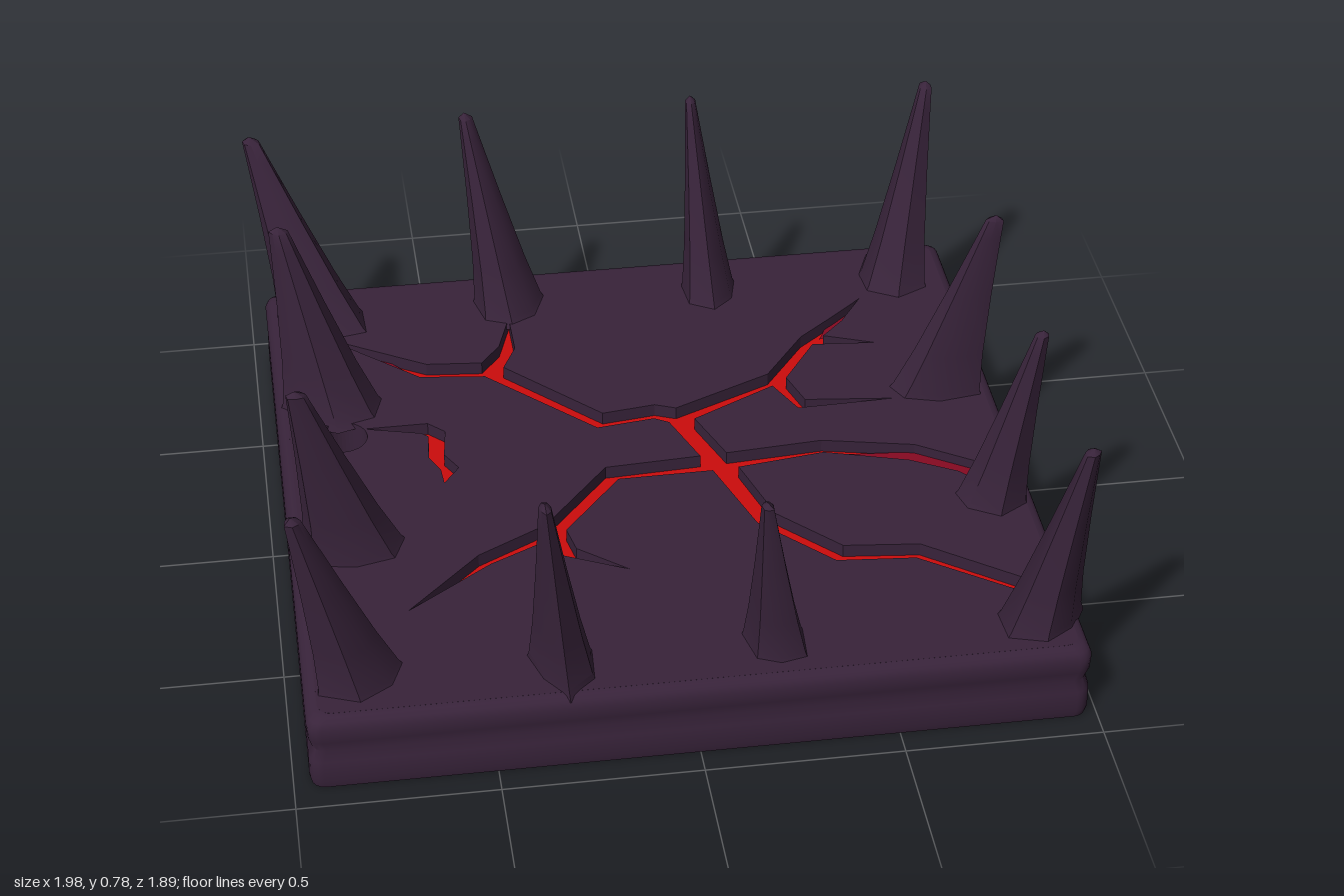
import * as THREE from 'three';
import { toCreasedNormals } from 'three/addons/utils/BufferGeometryUtils.js';

const stone = new THREE.MeshStandardMaterial({ color: 0x38233a });
stone.name = 'dark purple stone';
const lava = new THREE.MeshStandardMaterial({ color: 0xcc0c0c });
lava.name = 'lava red';
const ember = new THREE.MeshStandardMaterial({ color: 0x860a22 });
ember.name = 'dim ember red';

const TOP = 0.21, FLOOR = 0.17;
const CX = 0.01, CZ = -0.01, HX = 0.97, HZ = 0.945;

// Crack networks: each node is [x, z, half width, index of parent node]
const mainCrack = [
  [0.11, -0.19, 0.034, -1], [0.05, -0.22, 0.03, 0], [-0.1, -0.2, 0.03, 1], [-0.37, -0.48, 0.032, 2],
  [-0.55, -0.5, 0.03, 3], [-0.8, -0.69, 0.03, 4], [-0.31, -0.58, 0.022, 3], [-0.29, -0.72, 0.02, 6],
  [0.4, -0.33, 0.026, 0], [0.52, -0.5, 0.022, 8], [0.62, -0.59, 0.016, 9], [0.7, -0.68, 0.012, 10],
  [0.7, -0.46, 0.01, 9], [0.45, -0.2, 0.018, 8], [0.7, -0.19, 0.01, 13],
  [0.19, 0.03, 0.034, 0], [-0.1, 0.04, 0.028, 15], [-0.28, 0.26, 0.028, 16], [-0.47, 0.36, 0.024, 17],
  [-0.68, 0.54, 0.01, 18], [-0.25, 0.36, 0.02, 17], [-0.11, 0.45, 0.01, 20],
  [0.47, 0.0, 0.026, 15], [0.7, 0.06, 0.035, 22], [0.83, 0.14, 0.03, 23], [0.85, 0.21, 0.02, 24],
  [0.27, 0.29, 0.03, 15], [0.43, 0.46, 0.03, 26], [0.63, 0.48, 0.028, 27], [0.86, 0.65, 0.026, 28],
  [0.9, 0.7, 0.02, 29],
];
const sideCrack = [
  [-0.73, -0.25, 0.02, -1], [-0.57, -0.23, 0.022, 0], [-0.54, -0.2, 0.022, 1],
  [-0.55, -0.1, 0.02, 2], [-0.52, -0.04, 0.022, 3], [-0.54, 0.02, 0.02, 4],
];
const emberStrips = [
  [[0.44, 0.0, 0.03, -1], [0.7, 0.06, 0.04, 0], [0.83, 0.14, 0.04, 1], [0.86, 0.22, 0.03, 2]],
  [[-0.82, -0.7, 0.04, -1], [-0.74, -0.645, 0.05, 0], [-0.58, -0.525, 0.04, 1]],
  [[0.56, -0.535, 0.02, -1], [0.62, -0.59, 0.03, 0], [0.72, -0.7, 0.02, 1]],
];

// Walk around a branching line and return its outline, mitred at the bends
function outline(nodes) {
  const P = nodes.map(([x, z]) => new THREE.Vector2(x, -z));
  const links = nodes.map(() => []);
  nodes.forEach(([, , , parent], i) => {
    if (parent >= 0) { links[i].push(parent); links[parent].push(i); }
  });
  const angle = (a, b) => Math.atan2(P[b].y - P[a].y, P[b].x - P[a].x);
  const turn = (p, c, n) => {
    if (n === p) return 2 * Math.PI;
    return (angle(c, n) - angle(c, p) + 4 * Math.PI) % (2 * Math.PI);
  };
  const normal = (a, b) => {
    const d = P[b].clone().sub(P[a]).normalize();
    return new THREE.Vector2(d.y, -d.x);
  };
  const pts = [];
  const start = [0, links[0][0]];
  let [p, c] = start;
  do {
    const n = links[c].reduce((best, k) => (turn(p, c, k) < turn(p, c, best) ? k : best));
    if (n === p) pts.push(P[c].clone());
    else {
      const n1 = normal(p, c), n2 = normal(c, n);
      const k = nodes[c][2] / Math.max(0.4, 1 + n1.dot(n2));
      pts.push(P[c].clone().add(n1.add(n2).multiplyScalar(k)));
    }
    [p, c] = [c, n];
  } while (p !== start[0] || c !== start[1]);
  return pts;
}

// Rounded rectangle of the slab, pulled in by an inset
function slabPoints(inset) {
  const r = 0.035, pts = [];
  const hx = HX - inset - r, hz = HZ - inset - r;
  [[1, 1], [-1, 1], [-1, -1], [1, -1]].forEach(([sx, sy], q) => {
    for (let i = 0; i <= 4; i++) {
      const a = (q + i / 4) * Math.PI / 2;
      pts.push(new THREE.Vector2(CX + sx * hx + r * Math.cos(a), -CZ + sy * hz + r * Math.sin(a)));
    }
  });
  return pts;
}

// Horizontal slab with holes between two heights
function layer(holes, y0, y1) {
  const shape = new THREE.Shape(slabPoints(0.03));
  const drain = new THREE.Path();
  drain.absarc(-0.79, 0.22, 0.066, 0, Math.PI * 2, true);
  shape.holes.push(drain, ...holes.map((h) => new THREE.Path(h)));
  const g = new THREE.ExtrudeGeometry(shape, { depth: y1 - y0, bevelEnabled: false, curveSegments: 20 });
  return g.rotateX(-Math.PI / 2).translate(0, y0, 0);
}

// Flat patch lying at a height
function patch(points, y) {
  return new THREE.ShapeGeometry(new THREE.Shape(points)).rotateX(-Math.PI / 2).translate(0, y, 0);
}

// Outer edge of the slab, with a shallow waist and rounded top
function rimGeometry() {
  const profile = [[0, 0.03], [0, 0.004], [0.02, 0], [0.08, 0.001], [0.11, 0.01], [0.14, 0.002],
    [0.18, 0], [0.197, 0.007], [0.207, 0.018], [TOP, 0.031]];
  const pos = [], index = [];
  const n = slabPoints(0).length;
  profile.forEach(([y, inset], r) => {
    slabPoints(inset).forEach((p, i) => {
      pos.push(p.x, y, -p.y);
      if (r === 0) return;
      const a = (r - 1) * n + i, b = (r - 1) * n + (i + 1) % n;
      index.push(a, b, b + n, a, b + n, a + n);
    });
  });
  const g = new THREE.BufferGeometry();
  g.setAttribute('position', new THREE.Float32BufferAttribute(pos, 3));
  g.setIndex(index);
  return toCreasedNormals(g, 0.8);
}

// Leaning, slightly irregular spike
function spikeGeometry([bx, bz, rx, rz, tx, tz, h], seed) {
  const profile = [[1.12, 0], [1, 0.05], [0.78, 0.25], [0.5, 0.58], [0.27, 0.88], [0.2, 0.975], [0, 1]];
  const g = new THREE.LatheGeometry(profile.map(([r, y]) => new THREE.Vector2(r, y)), 7);
  const pos = g.attributes.position;
  const base = TOP - 0.015;
  for (let i = 0; i < pos.count; i++) {
    const x = pos.getX(i), y = pos.getY(i), z = pos.getZ(i);
    const a = Math.atan2(z, x);
    const k = 1 + 0.12 * Math.sin(2 * a + seed * 1.7) + 0.06 * Math.sin(3 * a + seed * 2.3);
    pos.setXYZ(i, bx + (tx - bx) * y + x * k * rx, base + (h - base) * y, bz + (tz - bz) * y + z * k * rz);
  }
  g.deleteAttribute('normal');
  g.deleteAttribute('uv');
  return toCreasedNormals(g, 0.75);
}

// Spikes: base x, base z, radius x, radius z, tip x, tip z, tip height
const spikes = [
  [-0.80, -0.79, 0.12, 0.11, -0.97, -0.92, 0.74], [-0.28, -0.79, 0.085, 0.105, -0.38, -0.90, 0.78],
  [0.29, -0.79, 0.075, 0.1, 0.25, -0.92, 0.77], [0.81, -0.78, 0.1, 0.1, 0.91, -0.89, 0.78],
  [-0.80, -0.36, 0.12, 0.09, -0.92, -0.42, 0.76], [-0.79, 0.26, 0.12, 0.09, -0.92, 0.32, 0.75],
  [-0.82, 0.76, 0.11, 0.1, -0.96, 0.83, 0.75], [-0.32, 0.78, 0.08, 0.12, -0.37, 0.90, 0.78],
  [0.21, 0.77, 0.07, 0.11, 0.16, 0.89, 0.72], [0.87, 0.78, 0.1, 0.1, 0.96, 0.84, 0.76],
  [0.87, 0.27, 0.1, 0.08, 0.96, 0.32, 0.75], [0.82, -0.23, 0.12, 0.07, 0.95, -0.18, 0.78],
];

export function createModel() {
  const group = new THREE.Group();
  const add = (name, geometry, material) => {
    const mesh = new THREE.Mesh(geometry, material);
    mesh.name = name;
    group.add(mesh);
  };
  const cracks = [outline(mainCrack), outline(sideCrack)];

  // Slab in two layers, so the cracks are cut into the upper one
  add('slabBase', layer([], 0, FLOOR), stone);
  add('slabTop', layer(cracks, FLOOR, TOP), stone);
  add('slabRim', rimGeometry(), stone);

  // Glowing floor of the cracks
  cracks.forEach((c) => add('lavaCrack', patch(c, FLOOR + 0.004), lava));
  emberStrips.forEach((s) => add('emberCrack', patch(outline(s), FLOOR + 0.012), ember));

  // Ring of spikes around the edge
  spikes.forEach((s, i) => add('spike', spikeGeometry(s, i), stone));
  return group;
}
